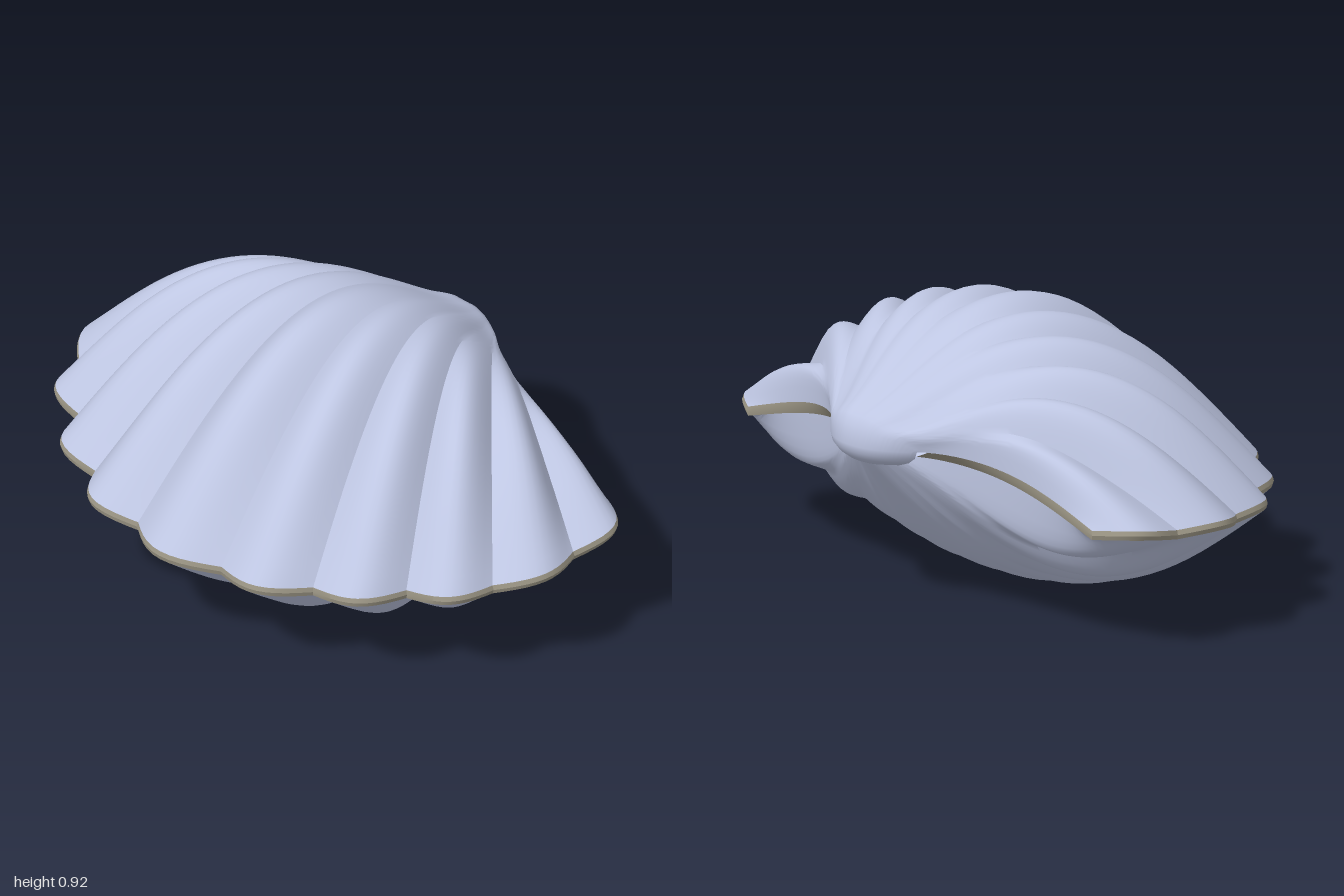
import * as THREE from 'three';
import { toCreasedNormals } from 'three/addons/utils/BufferGeometryUtils.js';

const HALF = 5.5;          // eleven ribs, s runs from -5.5 to 5.5 across the fan
const PER_RIB = 10;        // cross-segments in each rib
const ROWS = 36;           // segments from hinge to rim
const LIP = 0.015;         // half height of the rim band

// Rim corners between ribs, as x, z
const CORNERS = [[-0.18, 0.61], [0.18, 0.61], [0.47, 0.5], [0.7, 0.32], [0.89, 0.13], [0.96, -0.16], [0.86, -0.42]];
const LOBE = [0.09, 0.085, 0.085, 0.08, 0.07, 0.08];

// start: half width, height, z and sweep of the hinge, height gained at its sides
const UPPER = {
  dir: 1, start: [0.21, 0.55, -0.71, 0.11, 0],
  bulge: [0.46, 0.44, 0.4, 0.337, 0.24, 0.105], power: [1.02, 1, 1.04, 1.12, 1.06, 1],
};
const LOWER = {
  dir: -1, start: [0.14, 0.5, -0.64, 0.05, 0.02],
  bulge: [0.415, 0.4, 0.365, 0.315, 0.26, 0.175], power: [0.97, 0.97, 1.02, 1.08, 1.12, 1.15],
};

// Smooth curve through values at s = 0, 1, 2..., mirrored about zero
function sample(list, a) {
  const i = Math.floor(a), t = a - i;
  const at = (k) => list[Math.min(Math.abs(k), list.length - 1)];
  const p0 = at(i - 1), p1 = at(i), p2 = at(i + 1), p3 = at(i + 2);
  return p1 + 0.5 * t * (p2 - p0 + t * (2 * p0 - 5 * p1 + 4 * p2 - p3 + t * (3 * (p1 - p2) + p3 - p0)));
}

// Point on a valve: s across the ribs, r from hinge (0) to rim (1)
function valvePoint(v, s, r) {
  const a = Math.abs(s), side = s < 0 ? -1 : 1, q = a / HALF;
  const rib = Math.min(Math.floor(a + 0.5), 5);
  const f = a + 0.5 - rib;
  const arch = Math.sin(Math.PI * THREE.MathUtils.clamp(f, 0, 1));
  const w = THREE.MathUtils.smoothstep(r, 0.12, 0.8);

  // Scalloped rim: chord between corners, pushed outward
  const [x0, z0] = CORNERS[rib], [x1, z1] = CORNERS[rib + 1];
  const len = Math.hypot(x1 - x0, z1 - z0);
  const out = LOBE[rib] * arch * w;
  const ex = THREE.MathUtils.lerp(x0, x1, f) - (z1 - z0) / len * out;
  const ez = THREE.MathUtils.lerp(z0, z1, f) + (x1 - x0) / len * out;
  const ey = 0.33 + 0.07 * q * q + 0.02 * arch + v.dir * LIP;

  // Rounded hinge start
  const [sx, sy, sz, sweep, rise] = v.start;
  const hx = sx * q, hy = sy + rise * q * q, hz = sz + sweep * Math.pow(q, 2.2);

  // Dome height, falling off round the back of each wing
  const dome = Math.sin(Math.PI * Math.pow(r, sample(v.power, a)));
  let height = sample(v.bulge, a) * dome;
  if (a > 5) height *= Math.pow(Math.max(0, 1 - ((a - 5) / 0.5) ** 2), 0.7);
  const groove = a > 5 ? 0 : 0.055 * (1 - arch) * w * Math.sin(Math.PI * r);
  const beak = v.dir > 0 ? 0.09 * Math.exp(-r * 13) * (1 - Math.exp(-r * 80)) * (1 - q ** 3) : 0;

  // Back edges bow outward and upward between hinge and wing
  const bow = Math.sin(Math.PI * Math.pow(r, 0.8)) * q ** 4;
  return new THREE.Vector3(
    side * THREE.MathUtils.lerp(hx, ex, r),
    THREE.MathUtils.lerp(hy, ey, r) + v.dir * (height - groove) + beak + 0.03 * bow,
    THREE.MathUtils.lerp(hz, ez, r) + 0.06 * bow,
  );
}

// Surface through rows of points
function loft(rows, flip, crease) {
  const n = rows[0].length, index = [];
  for (let j = 0; j < rows.length - 1; j++) {
    for (let i = 0; i < n - 1; i++) {
      const a = j * n + i, b = a + 1, c = a + n, d = c + 1;
      if (flip) index.push(a, b, c, b, d, c);
      else index.push(a, c, b, b, c, d);
    }
  }
  const g = new THREE.BufferGeometry().setFromPoints(rows.flat());
  g.setIndex(index);
  return toCreasedNormals(g, crease);
}

const ribSteps = [];
for (let i = 0; i <= 11 * PER_RIB; i++) ribSteps.push(-HALF + i / PER_RIB);

function valveRows(v) {
  const rows = [];
  // Upper hinge curls under into a small hook
  if (v.dir > 0) {
    for (let k = 5; k >= 1; k--) {
      const t = k / 5 * Math.PI / 2 * 0.97;
      rows.push(ribSteps.map((s) => {
        const p = valvePoint(v, s, 0);
        return new THREE.Vector3(p.x * Math.cos(t), p.y - 0.075 * Math.sin(t), -0.61 + (p.z + 0.61) * Math.cos(t));
      }));
    }
  }
  for (let j = 0; j <= ROWS; j++) {
    const r = Math.pow(j / ROWS, 1.25);
    rows.push(ribSteps.map((s) => valvePoint(v, s, r)));
  }
  return rows;
}

// Outer boundary of a valve: back of one wing, round the rim, back of the other
function boundary(v) {
  const back = [];
  for (let j = 1; j < 24; j++) back.push(j / 24);
  return [
    ...back.map((r) => valvePoint(v, -HALF, r)),
    ...ribSteps.map((s) => valvePoint(v, s, 1)),
    ...back.slice().reverse().map((r) => valvePoint(v, HALF, r)),
  ];
}

export function createModel() {
  const shell = new THREE.MeshStandardMaterial({ color: 0xbec6e2, side: THREE.DoubleSide });
  shell.name = 'pale blue shell';
  const edge = new THREE.MeshStandardMaterial({ color: 0x9d9786, side: THREE.DoubleSide });
  edge.name = 'tan rim';

  const group = new THREE.Group();
  group.name = 'clamShell';
  const add = (name, geometry, material) => {
    const mesh = new THREE.Mesh(geometry, material);
    mesh.name = name;
    group.add(mesh);
  };

  add('upperValve', loft(valveRows(UPPER), false, 0.6), shell);
  add('lowerValve', loft(valveRows(LOWER), true, 0.6), shell);

  // Rim band with a slight ridge between the two valves
  const top = boundary(UPPER), bottom = boundary(LOWER);
  const ridge = top.map((p, i) => {
    const m = p.clone().lerp(bottom[i], 0.5);
    return m.set(m.x * 1.006, m.y, m.z * 1.006);
  });
  add('rimBand', loft([top, ridge, bottom], false, 0.4), edge);
  return group;
}
